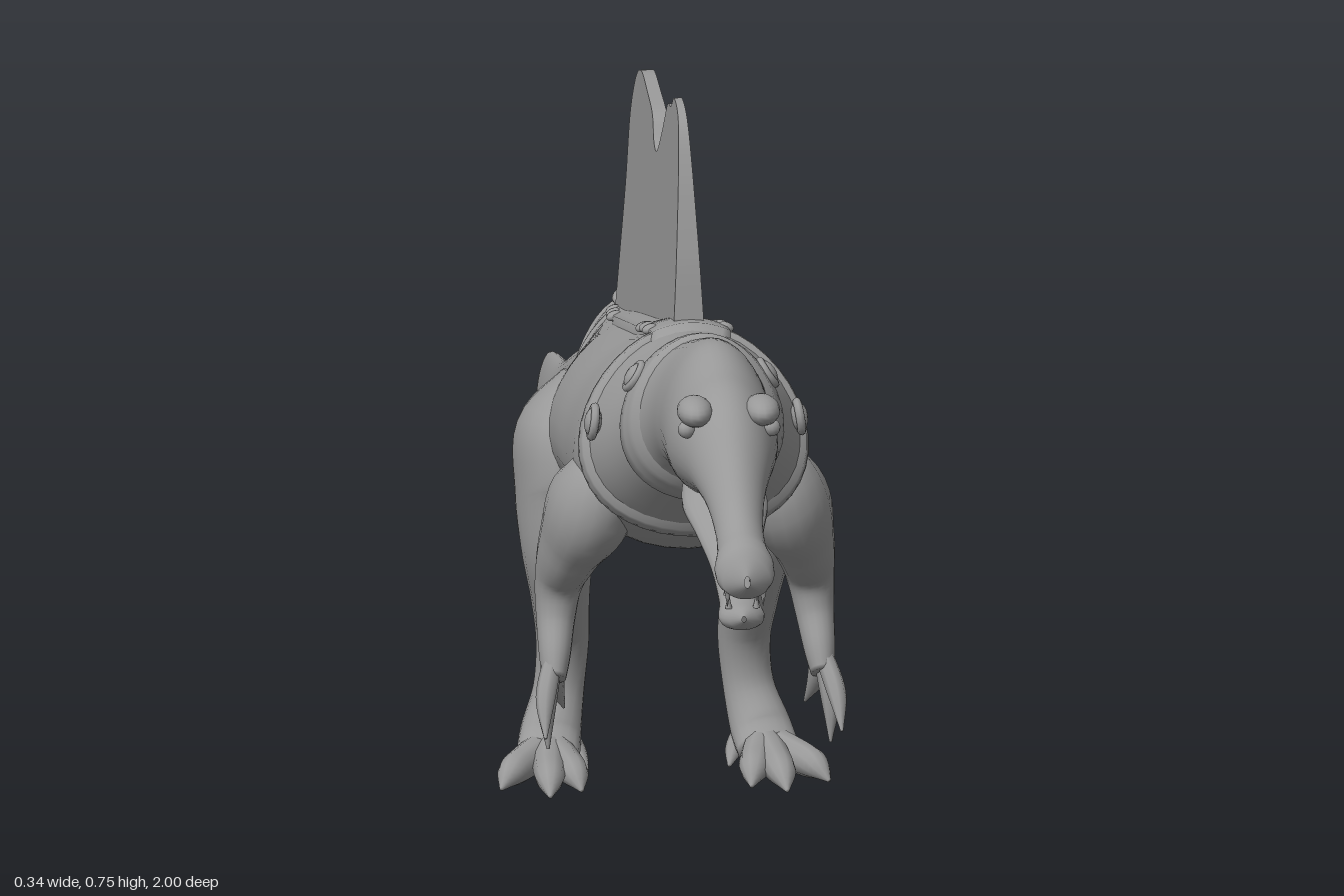
import * as THREE from 'three';

const hide = new THREE.MeshStandardMaterial({ color: 0x999999 });
hide.name = 'grey';

// Surface from fn(u, v) -> [x, y, z]; optionally closed around v
function grid(nu, nv, fn, closed = true) {
  const pos = [], idx = [], cols = closed ? nv : nv + 1;
  for (let i = 0; i <= nu; i++)
    for (let j = 0; j < cols; j++) pos.push(...fn(i / nu, j / nv, i));
  for (let i = 0; i < nu; i++)
    for (let j = 0; j < nv; j++) {
      const k = (j + 1) % cols;
      const a = i * cols + j, b = a + cols, c = i * cols + k, d = c + cols;
      idx.push(a, b, c, b, d, c);
    }
  const g = new THREE.BufferGeometry();
  g.setAttribute('position', new THREE.Float32BufferAttribute(pos, 3));
  g.setIndex(idx);
  g.computeVertexNormals();
  return g;
}

function add(parent, name, geometry) {
  const m = new THREE.Mesh(geometry, hide);
  m.name = name;
  parent.add(m);
  return m;
}

// Cross-sections: z, top, bottom, half width
const TAIL = [
  [-1, 0.086, 0.08, 0.002], [-0.975, 0.125, 0.08, 0.008], [-0.95, 0.15, 0.079, 0.011],
  [-0.91, 0.17, 0.078, 0.015], [-0.77, 0.197, 0.082, 0.022], [-0.61, 0.25, 0.107, 0.027],
  [-0.5, 0.288, 0.13, 0.03], [-0.395, 0.332, 0.155, 0.033], [-0.29, 0.375, 0.182, 0.04],
  [-0.18, 0.412, 0.212, 0.055],
];
const TRUNK = [
  [-0.08, 0.432, 0.235, 0.07], [0, 0.445, 0.245, 0.092], [0.1, 0.468, 0.265, 0.108],
  [0.2, 0.49, 0.285, 0.112], [0.3, 0.512, 0.292, 0.112], [0.4, 0.538, 0.305, 0.115],
  [0.45, 0.545, 0.318, 0.115], [0.5, 0.551, 0.345, 0.102], [0.55, 0.561, 0.385, 0.08],
];
const HEAD = [
  [0.6, 0.575, 0.425, 0.06], [0.66, 0.59, 0.438, 0.055], [0.7, 0.594, 0.442, 0.055],
  [0.76, 0.582, 0.45, 0.055], [0.8, 0.575, 0.458, 0.05], [0.84, 0.557, 0.463, 0.041],
  [0.88, 0.523, 0.455, 0.03], [0.92, 0.487, 0.436, 0.024], [0.95, 0.468, 0.42, 0.025],
  [0.975, 0.46, 0.405, 0.03], [0.993, 0.445, 0.405, 0.021], [1, 0.43, 0.418, 0.003],
];
const BODY = [...TAIL, ...TRUNK, ...HEAD];
const JAW = [
  [0.72, 0.48, 0.45, 0.035], [0.78, 0.47, 0.434, 0.043], [0.83, 0.448, 0.42, 0.034],
  [0.88, 0.424, 0.397, 0.024], [0.92, 0.398, 0.37, 0.02], [0.945, 0.39, 0.361, 0.023],
  [0.96, 0.387, 0.365, 0.015], [0.967, 0.38, 0.374, 0.002],
];

// Smooth cubic interpolation of a section table at z
function sample(secs, z) {
  let i = 0;
  while (i < secs.length - 2 && z > secs[i + 1][0]) i++;
  const at = (k) => secs[Math.min(Math.max(k, 0), secs.length - 1)];
  const slope = (k, c) => (at(k + 1)[c] - at(k - 1)[c]) / (at(k + 1)[0] - at(k - 1)[0]);
  const p = secs[i], q = secs[i + 1], d = q[0] - p[0], t = (z - p[0]) / d;
  const t2 = t * t, t3 = t2 * t;
  return [1, 2, 3].map((c) => (2 * t3 - 3 * t2 + 1) * p[c] + (3 * t2 - 2 * t3) * q[c]
    + d * ((t3 - 2 * t2 + t) * slope(i, c) + (t3 - t2) * slope(i + 1, c)));
}

// Point on a lofted form; angle 0 is the top, grow lifts it off the skin
function surf(secs, z, a, grow = 0) {
  const [top, bot, w] = sample(secs, z);
  return [
    (w + grow) * Math.sin(a) * (1 - 0.15 * Math.cos(a)),
    (top + bot) / 2 + ((top - bot) / 2 + grow) * Math.cos(a), z,
  ];
}

const TURN = Math.PI * 2;
const loft = (secs, n, sides) => {
  const z0 = secs[0][0], z1 = secs[secs.length - 1][0];
  return grid(n, sides, (u, v) => surf(secs, z0 + (z1 - z0) * u, v * TURN));
};

// Strap around the body, leaning by tilt
const band = (zc, width, tilt, lift = 0.006) => grid(5, 40, (u, v, i) =>
  surf(BODY, zc + (u - 0.5) * width + tilt * Math.cos(v * TURN), v * TURN, i % 5 ? lift : -0.004));

// Tapering limb through points [x, y, z, radius across, radius in depth]
function limb(pts, n = 28, sides = 14) {
  const path = new THREE.CatmullRomCurve3(pts.map((p) => new THREE.Vector3(...p)), false, 'catmullrom');
  const size = new THREE.CatmullRomCurve3(pts.map((p) => new THREE.Vector3(p[3], p[4], 0)), false, 'catmullrom');
  return grid(n + 2, sides, (u, v, i) => {
    const t = Math.min(Math.max((i - 1) / n, 0), 1), r = size.getPoint(t);
    if (i === 0 || i === n + 2) r.set(0, 0, 0);
    const dir = path.getTangent(t);
    const n1 = new THREE.Vector3(1, 0, 0).addScaledVector(dir, -dir.x).normalize();
    const n2 = n1.clone().cross(dir);
    return path.getPoint(t).addScaledVector(n1, r.x * Math.cos(v * TURN))
      .addScaledVector(n2, r.y * Math.sin(v * TURN)).toArray();
  });
}

// Round knob seated on the body
function stud(parent, name, z, a, r, ring) {
  const g = new THREE.Group();
  g.name = name;
  g.position.set(...surf(BODY, z, a, 0.006));
  g.lookAt(g.position.x + Math.sin(a), g.position.y + Math.cos(a), z);
  add(g, 'cap', new THREE.SphereGeometry(r, 12, 8)).scale.z = 0.6;
  if (ring) add(g, 'rim', new THREE.TorusGeometry(r, r * 0.3, 8, 18));
  parent.add(g);
}

export function createModel() {
  const model = new THREE.Group();
  model.name = 'sailBackedDinosaur';

  add(model, 'body', loft(BODY, 200, 36));
  add(model, 'lowerJaw', loft(JAW, 40, 20));

  // Sail, thinning toward its crest
  const crest = [
    [0.43, 0.55], [0.42, 0.615], [0.397, 0.695], [0.37, 0.742], [0.325, 0.753], [0.3, 0.738],
    [0.27, 0.732], [0.235, 0.695], [0.2, 0.666], [0.172, 0.668], [0.145, 0.69], [0.095, 0.699],
    [0.03, 0.705], [-0.015, 0.687], [-0.047, 0.64], [-0.053, 0.57], [-0.07, 0.49], [-0.082, 0.435],
  ].map((p) => new THREE.Vector2(...p));
  const outline = new THREE.Shape();
  outline.moveTo(-0.08, 0.4);
  outline.lineTo(0.43, 0.5);
  outline.lineTo(0.43, 0.55);
  outline.splineThru(crest.slice(1));
  const sail = new THREE.ExtrudeGeometry(outline, { depth: 1, bevelEnabled: false, curveSegments: 70 });
  const p = sail.attributes.position;
  for (let i = 0; i < p.count; i++) {
    const y = p.getY(i), half = 0.022 - (y - 0.42) * 0.054;
    p.setXYZ(i, (0.5 - p.getZ(i)) * 2 * half, y, p.getX(i));
  }
  sail.computeVertexNormals();
  add(model, 'sail', sail);

  // Harness: saddle strip, collar, chest strap, tail straps
  add(model, 'saddle', grid(40, 14, (u, v, i) => {
    const edge = i === 0 || i === 40 || v === 0 || v === 1;
    return surf(BODY, -0.085 + 0.55 * u, (v - 0.5) * 0.9, edge ? -0.003 : 0.007);
  }, false));
  add(model, 'collar', band(0.567, 0.036, -0.015));
  add(model, 'chestStrap', band(0.478, 0.02, -0.035));
  add(model, 'tailStrapFront', band(-0.078, 0.014, -0.014, 0.004));
  add(model, 'tailStrapRear', band(-0.16, 0.014, -0.016, 0.004));
  const handle = add(model, 'harnessLoop', new THREE.TorusGeometry(0.018, 0.005, 8, 20));
  handle.position.set(0, 0.435, -0.1);
  handle.rotation.x = Math.PI / 2 + 0.2;

  for (const s of [1, -1]) {
    const side = s > 0 ? 'left' : 'right';
    const mir = (pts) => pts.map(([x, ...rest]) => [x * s, ...rest]);

    // Harness buttons and rivets
    stud(model, side + 'CollarButton', 0.545, s * 0.99, 0.014, true);
    stud(model, side + 'ChestButton', 0.5, s * 1.42, 0.015, true);
    for (const z of [0.42, 0.385, 0.35, 0.0, -0.03, -0.06])
      stud(model, side + 'Rivet', z, s * 0.38, 0.008, false);

    // Brow, eye and teeth
    const brow = add(model, side + 'Brow', new THREE.SphereGeometry(0.02, 16, 12));
    brow.position.set(s * 0.034, 0.555, 0.815);
    brow.scale.set(0.9, 0.75, 1.6);
    add(model, side + 'Eye', new THREE.SphereGeometry(0.009, 12, 8)).position.set(s * 0.043, 0.538, 0.822);
    for (let i = 0; i < 4; i++) {
      const upper = add(model, side + 'UpperTooth', new THREE.ConeGeometry(0.004, 0.018, 6));
      upper.position.set(s * (0.018 - i * 0.001), 0.402 + i * 0.008, 0.98 - i * 0.02);
      upper.rotation.x = Math.PI;
      add(model, side + 'LowerTooth', new THREE.ConeGeometry(0.004, 0.016, 6))
        .position.set(s * 0.014, 0.393 + i * 0.009, 0.952 - i * 0.018);
    }

    // Hind leg with three clawed toes and a small inner toe
    add(model, side + 'HindLeg', limb(mir([
      [0.07, 0.4, 0.065, 0.02, 0.035], [0.088, 0.345, 0.075, 0.05, 0.085],
      [0.097, 0.285, 0.092, 0.044, 0.086], [0.1, 0.235, 0.11, 0.037, 0.056],
      [0.096, 0.18, 0.1, 0.03, 0.036], [0.092, 0.13, 0.083, 0.027, 0.028],
      [0.096, 0.08, 0.085, 0.026, 0.024], [0.106, 0.04, 0.105, 0.031, 0.027],
      [0.112, 0.022, 0.135, 0.032, 0.018],
    ]), 40, 20));
    for (const [x, z] of [[0.086, 0.215], [0.12, 0.236], [0.166, 0.2]])
      add(model, side + 'Toe', limb(mir([
        [0.108, 0.03, 0.11, 0.016, 0.018], [0.108 + (x - 0.108) * 0.5, 0.021, 0.11 + (z - 0.11) * 0.45, 0.017, 0.018],
        [0.108 + (x - 0.108) * 0.8, 0.017, 0.11 + (z - 0.11) * 0.78, 0.014, 0.014], [x, 0.006, z, 0.002, 0.002],
      ]), 14, 10));
    add(model, side + 'InnerToe', limb(mir([
      [0.095, 0.04, 0.1, 0.012, 0.012], [0.08, 0.02, 0.11, 0.01, 0.01], [0.072, 0.006, 0.13, 0.002, 0.002],
    ]), 10, 8));

    // Foreleg with three long claws
    add(model, side + 'Arm', limb(mir([
      [0.065, 0.41, 0.42, 0.03, 0.04], [0.096, 0.365, 0.43, 0.045, 0.06],
      [0.117, 0.315, 0.407, 0.033, 0.046], [0.127, 0.272, 0.388, 0.025, 0.03],
      [0.131, 0.235, 0.393, 0.02, 0.022], [0.134, 0.2, 0.413, 0.016, 0.02],
      [0.136, 0.178, 0.425, 0.012, 0.017],
    ]), 34, 18));
    for (const [x, y, z] of [[0.15, 0.13, 0.478], [0.143, 0.108, 0.435], [0.122, 0.138, 0.385]])
      add(model, side + 'Claw', limb(mir([
        [0.134, 0.205, 0.413, 0.009, 0.01], [(0.136 + x) / 2 + 0.004, (0.2 + y) / 2, (0.418 + z) / 2, 0.01, 0.01],
        [x, y, z, 0.0015, 0.0015],
      ]), 12, 8));
  }
  return model;
}
